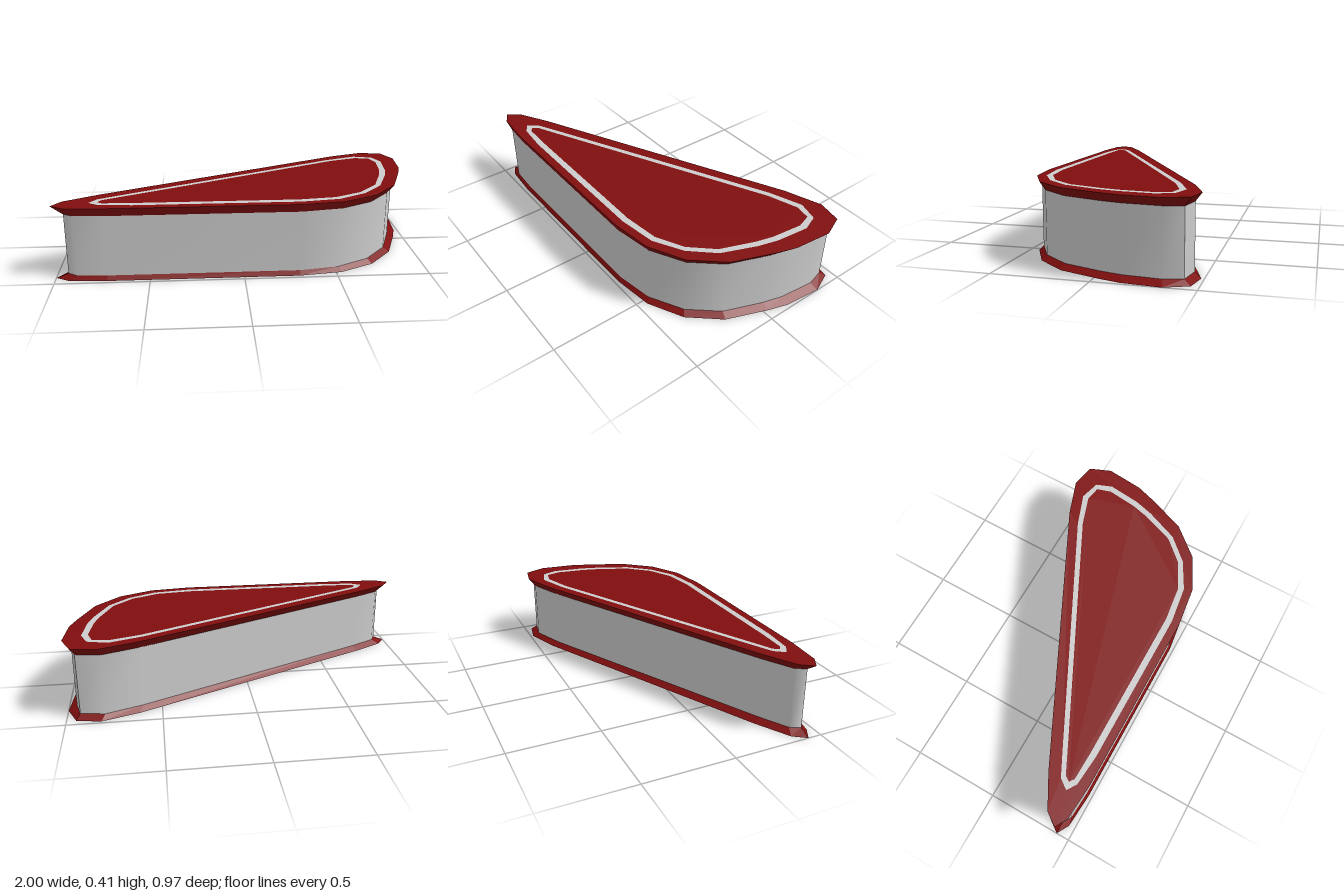
import * as THREE from 'three';

// Matching outlines as [x, z], running from the right corner round the front to the back
const RIM = [[0.95, -0.46], [1, -0.34], [0.98, -0.135], [0.945, -0.025], [0.86, 0.195], [0.72, 0.355], [0.53, 0.45], [0.3, 0.48],
  [-0.73, 0.48], [-0.93, 0.465], [-1, 0.425], [-0.95, 0.355], [-0.77, 0.255], [0.62, -0.415], [0.82, -0.485]];
const WALL = [[0.93, -0.427], [0.955, -0.33], [0.935, -0.135], [0.905, -0.025], [0.825, 0.185], [0.695, 0.335], [0.515, 0.43], [0.3, 0.465],
  [-0.72, 0.465], [-0.885, 0.455], [-0.935, 0.425], [-0.905, 0.37], [-0.75, 0.285], [0.605, -0.375], [0.8, -0.45]];
const BAND_OUT = [[0.87, -0.37], [0.905, -0.28], [0.885, -0.1], [0.855, 0.01], [0.78, 0.195], [0.665, 0.32], [0.51, 0.405], [0.3, 0.435],
  [-0.58, 0.435], [-0.755, 0.42], [-0.81, 0.385], [-0.77, 0.33], [-0.61, 0.25], [0.58, -0.335], [0.76, -0.4]];
const BAND_IN = [[0.845, -0.35], [0.87, -0.27], [0.85, -0.1], [0.825, -0.005], [0.755, 0.18], [0.645, 0.3], [0.495, 0.375], [0.295, 0.4],
  [-0.58, 0.4], [-0.74, 0.395], [-0.765, 0.375], [-0.745, 0.345], [-0.6, 0.275], [0.595, -0.31], [0.76, -0.365]];

const Y = { lower: 0.025, upper: 0.36, top: 0.405 };

// Strip of faces between two matching outlines at two heights
function skirt(low, y0, high, y1) {
  const n = low.length, pos = [], index = [];
  for (let i = 0; i <= n; i++) {
    const [ax, az] = low[i % n], [bx, bz] = high[i % n];
    pos.push(ax, y0, az, bx, y1, bz);
  }
  for (let i = 0; i < n; i++) {
    const a = i * 2;
    index.push(a, a + 1, a + 2, a + 2, a + 1, a + 3);
  }
  const g = new THREE.BufferGeometry();
  g.setAttribute('position', new THREE.Float32BufferAttribute(pos, 3));
  g.setIndex(index);
  g.computeVertexNormals();
  return g;
}

// Horizontal face bounded by an outline, with an optional hole, facing up (1) or down (-1)
function flat(outline, y, hole, facing = 1) {
  const points = (loop) => loop.map(([x, z]) => new THREE.Vector2(x, -z * facing));
  const shape = new THREE.Shape(points(outline));
  if (hole) shape.holes.push(new THREE.Path(points(hole)));
  return new THREE.ShapeGeometry(shape).rotateX(-facing * Math.PI / 2).translate(0, y, 0);
}

export function createModel() {
  const model = new THREE.Group();
  const grey = new THREE.MeshStandardMaterial({ color: 0xcccccc, side: THREE.DoubleSide });
  const red = new THREE.MeshStandardMaterial({ color: 0x800e0e, side: THREE.DoubleSide, flatShading: true });
  const add = (name, geometry, material) => {
    const mesh = new THREE.Mesh(geometry, material);
    mesh.name = name;
    model.add(mesh);
  };

  // Smooth side wall
  add('sideWall', skirt(WALL, Y.lower, WALL, Y.upper), grey);

  // Flared base
  add('baseFlange', skirt(RIM, 0, WALL, Y.lower), red);
  add('basePlate', flat(RIM, 0, null, -1), red);

  // Flared top with an inlaid pale band
  add('topFlange', skirt(WALL, Y.upper, RIM, Y.top), red);
  add('topBorder', flat(RIM, Y.top, BAND_OUT), red);
  add('inlaidBand', flat(BAND_OUT, Y.top, BAND_IN), grey);
  add('topPanel', flat(BAND_IN, Y.top), red);

  return model;
}
